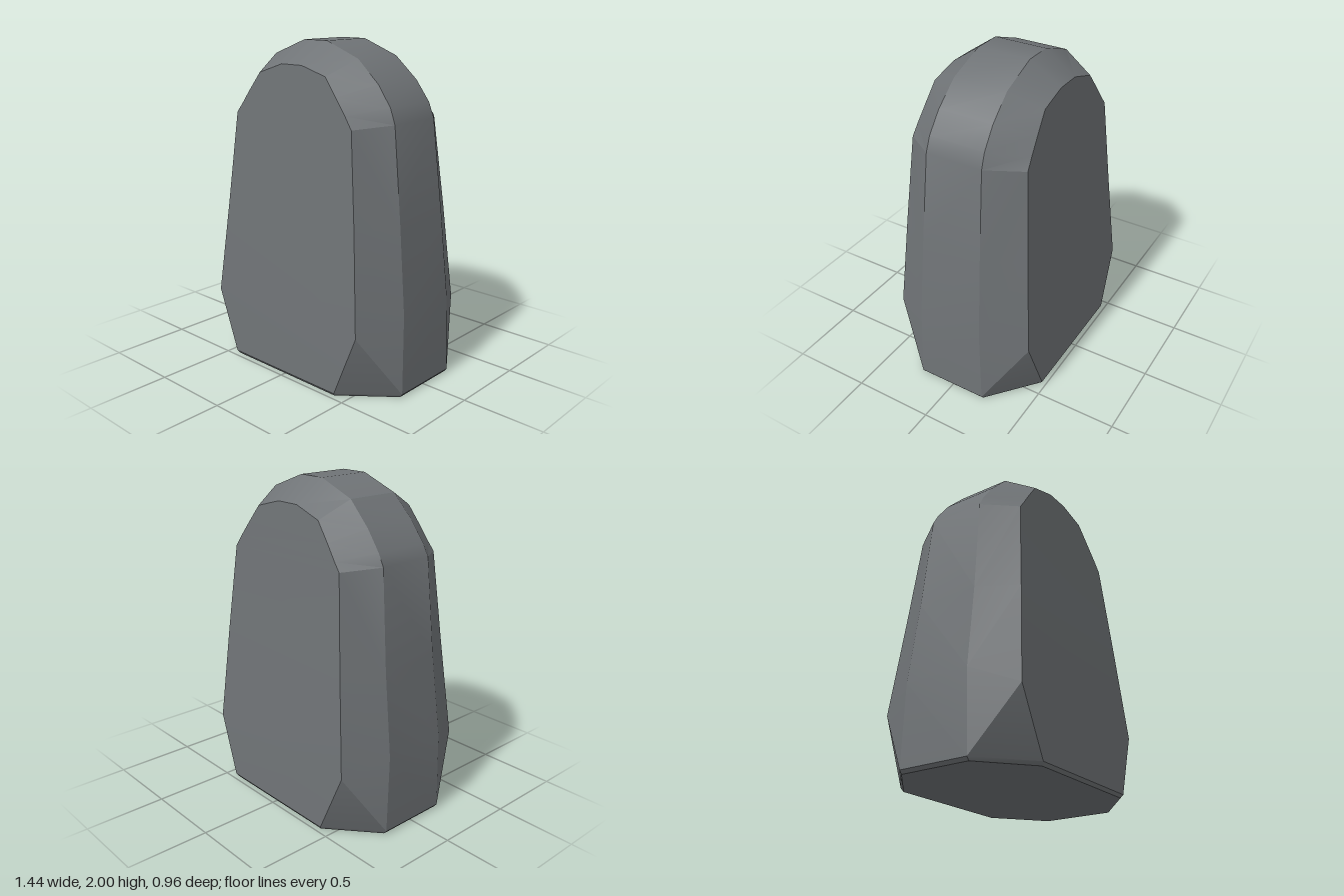
import * as THREE from 'three';
import { toCreasedNormals } from 'three/addons/utils/BufferGeometryUtils.js';

// Arch outlines, from bottom right over the top to bottom left.
const RIM = [
  [0.705, 0], [0.72, 0.02], [0.71, 0.5], [0.66, 1.0], [0.595, 1.57], [0.56, 1.66], [0.47, 1.78], [0.32, 1.91], [0.08, 2],
  [-0.1, 2], [-0.34, 1.91], [-0.48, 1.77], [-0.57, 1.65], [-0.607, 1.58], [-0.66, 1.0], [-0.722, 0.5], [-0.722, 0.02], [-0.705, 0],
];
const FACE = [
  [0.41, 0], [0.42, 0.02], [0.57, 0.4], [0.515, 1.0], [0.455, 1.55], [0.405, 1.62], [0.33, 1.715], [0.245, 1.82], [0.06, 1.87],
  [-0.1, 1.87], [-0.285, 1.81], [-0.37, 1.7], [-0.435, 1.61], [-0.475, 1.56], [-0.53, 1.0], [-0.595, 0.4], [-0.43, 0.02], [-0.42, 0],
];

// Depth of the broad faces and of the rim band; both thin out upwards.
const faceZ = (y) => (y < 0.01 ? 0.465 : y < 0.45 ? 0.48 - 0.04 * y : 0.463 - (y - 0.4) * 0.075);
const rimZ = (y) => 0.222 - 0.028 * y;

function stoneGeometry() {
  const ring = (outline, depth, side) => outline.map(([x, y]) => [x, y, side * depth(y)]);
  const rings = [ring(FACE, faceZ, 1), ring(RIM, rimZ, 1), ring(RIM, rimZ, -1), ring(FACE, faceZ, -1)];
  const n = RIM.length;
  const pos = [];
  const tri = (...corners) => corners.forEach((c) => pos.push(...c));

  // Front bevel, rim band and back bevel; the wrap-around closes the base.
  for (let r = 0; r < 3; r++) {
    const a = rings[r], b = rings[r + 1];
    for (let i = 0; i < n; i++) {
      const j = (i + 1) % n;
      if ((i < n / 2) === (r === 0)) {
        tri(a[i], b[i], a[j]);
        tri(b[i], b[j], a[j]);
      } else {
        tri(a[i], b[i], b[j]);
        tri(a[i], b[j], a[j]);
      }
    }
  }
  // Broad front and back faces, in strips from left to right.
  const [front, , , back] = rings;
  for (let i = 0; i < n / 2 - 1; i++) {
    const k = n - 1 - i;
    tri(front[i], front[i + 1], front[k - 1]);
    tri(front[i], front[k - 1], front[k]);
    tri(back[i], back[k - 1], back[i + 1]);
    tri(back[i], back[k], back[k - 1]);
  }
  const geometry = new THREE.BufferGeometry();
  geometry.setAttribute('position', new THREE.Float32BufferAttribute(pos, 3));
  return toCreasedNormals(geometry, 0.4);
}

export function createModel() {
  const group = new THREE.Group();
  group.name = 'standingStone';
  const stoneGrey = new THREE.MeshStandardMaterial({ color: 0x6f7376 });
  stoneGrey.name = 'stoneGrey';
  const stone = new THREE.Mesh(stoneGeometry(), stoneGrey);
  stone.name = 'stone';
  group.add(stone);
  return group;
}
